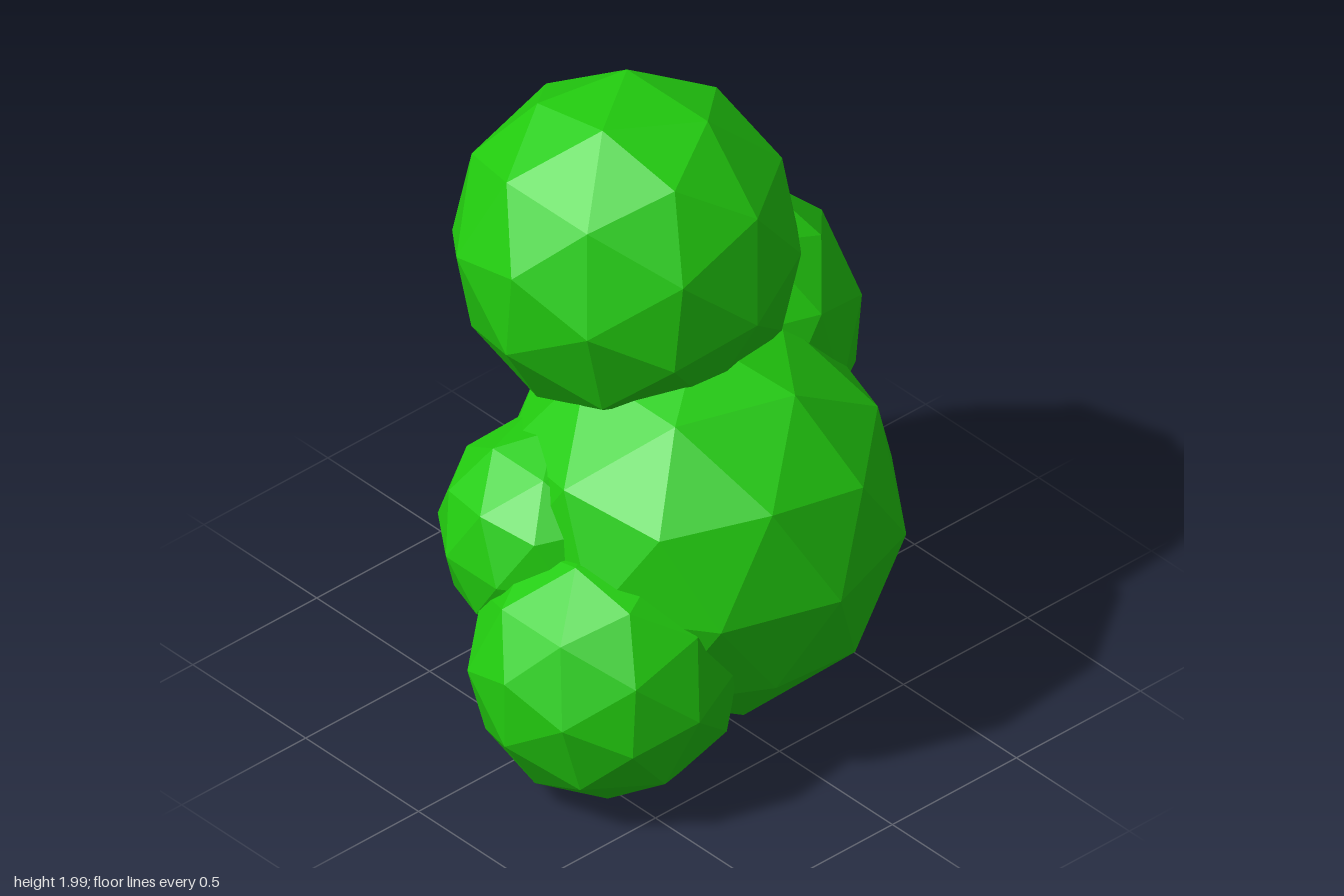
import * as THREE from 'three';

export function createModel() {
  const group = new THREE.Group();
  group.name = 'bush';
  const leafGreen = new THREE.MeshStandardMaterial({ color: 0x22cc0f, flatShading: true });
  leafGreen.name = 'leaf green';

  // A faceted ball; "facing" points at the middle of one icosahedron edge and "edge" runs along it
  function addClump(name, radius, center, facing, edge) {
    const geometry = new THREE.IcosahedronGeometry(radius, 1);
    const x = new THREE.Vector3(...facing).normalize();
    const y = new THREE.Vector3(...edge).cross(x).normalize();
    const z = new THREE.Vector3().crossVectors(x, y);
    const mesh = new THREE.Mesh(geometry, leafGreen);
    mesh.name = name;
    mesh.quaternion.setFromRotationMatrix(new THREE.Matrix4().makeBasis(x, y, z));
    mesh.position.set(...center);
    group.add(mesh);
  }

  // Overlapping leaf clumps, largest first
  addClump('mainClump', 0.635, [0.03, 0.675, 0.105], [0, 0, 1], [0.526, 0.85, 0]);
  addClump('topClump', 0.535, [0.035, 1.485, -0.215], [0.08, -0.08, 0.99], [0.96, 0.28, -0.055]);
  addClump('leftClump', 0.48, [0.38, 1.01, -0.25], [0.97, -0.1, 0.2], [0.23, 0.5, -0.87]);
  addClump('lowRightClump', 0.42, [-0.45, 0.41, 0.22], [0, 0, 1], [0.96, 0.28, 0]);
  addClump('backRightClump', 0.36, [-0.355, 0.685, -0.1], [0, 0, 1], [0.526, 0.85, 0]);

  return group;
}
